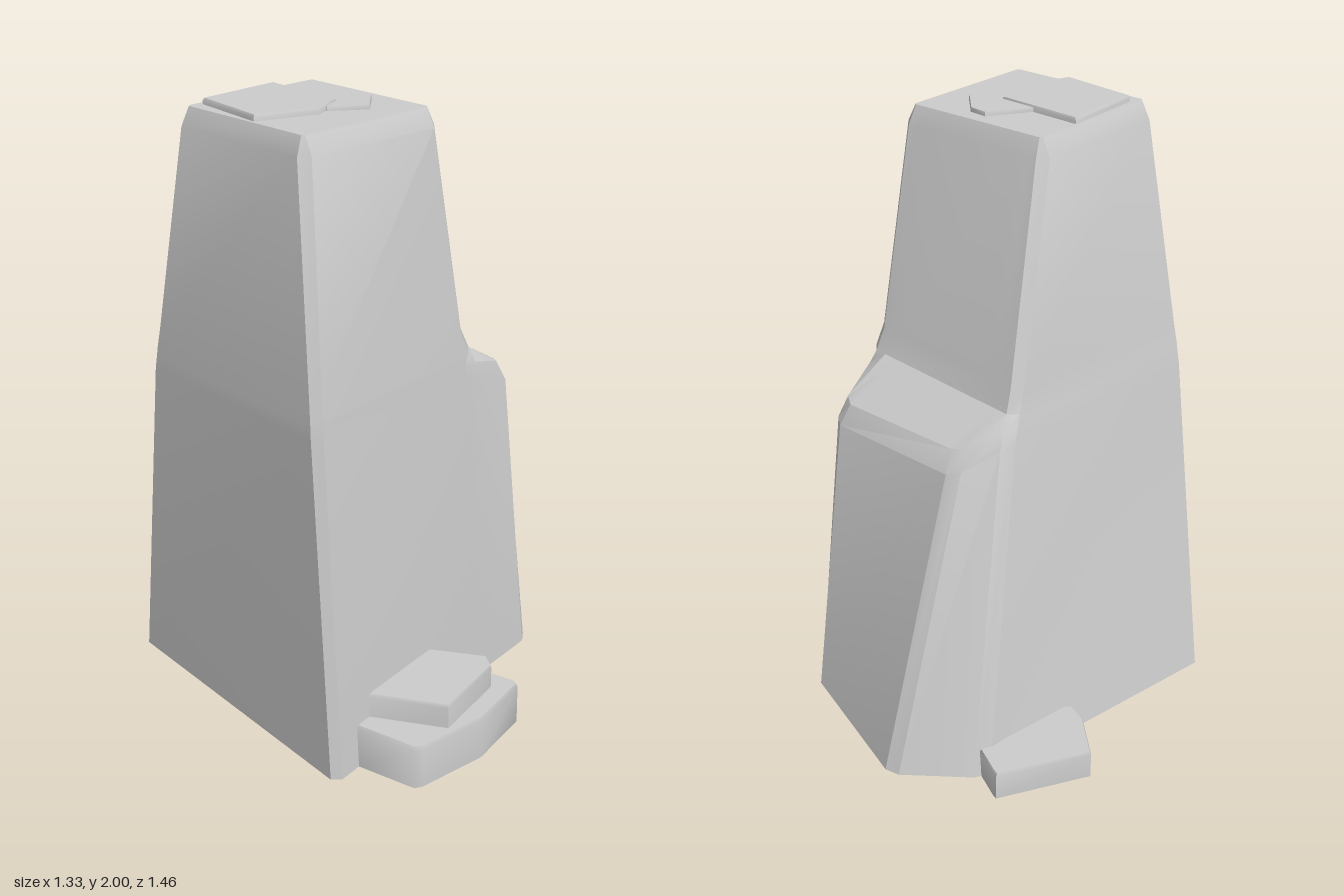
import * as THREE from 'three';
import { toCreasedNormals } from 'three/addons/utils/BufferGeometryUtils.js';

const material = new THREE.MeshStandardMaterial({ color: 0xcccccc, side: THREE.DoubleSide });

// Skin a stack of equal-length rings of [x, y, z], capped on top, open below
function loft(name, rings, crease) {
  const n = rings[0].length;
  const points = rings.flat();
  const top = rings[rings.length - 1];
  const centre = [0, 1, 2].map(k => top.reduce((s, p) => s + p[k], 0) / n);
  points.push(centre);
  const index = [];
  for (let r = 0; r < rings.length - 1; r++) {
    for (let i = 0; i < n; i++) {
      const j = (i + 1) % n;
      const a = r * n + i, b = r * n + j, c = b + n, d = a + n;
      index.push(a, b, c, a, c, d);
    }
  }
  const last = (rings.length - 1) * n;
  for (let i = 0; i < n; i++) index.push(points.length - 1, last + i, last + (i + 1) % n);
  const geometry = new THREE.BufferGeometry();
  geometry.setAttribute('position', new THREE.Float32BufferAttribute(points.flat(), 3));
  geometry.setIndex(index);
  const mesh = new THREE.Mesh(toCreasedNormals(geometry, crease), material);
  mesh.name = name;
  return mesh;
}

// Replace each corner of a ring by two points a distance d along its edges
function chamfer(ring, d) {
  const n = ring.length;
  return ring.flatMap((p, i) => [ring[(i + n - 1) % n], ring[(i + 1) % n]].map(q => {
    const a = new THREE.Vector3(...p), b = new THREE.Vector3(...q);
    const t = Math.min(d / a.distanceTo(b), 0.4);
    return a.lerp(b, t).toArray();
  }));
}

// Four-cornered ring of the upper block, with two spare points on its right face
function upperRing(y, frontLeft, frontRight, backRight, backLeft) {
  const at = ([x, z]) => [x, y, z];
  const along = t => at(frontRight.map((v, k) => v + (backRight[k] - v) * t));
  return [at(frontLeft), at(frontRight), along(0.15), along(0.85), at(backRight), at(backLeft)];
}

// Flat stone with a small bevel around its top
function slab(name, y0, y1, bevel, outline) {
  const n = outline.length;
  const cx = outline.reduce((s, p) => s + p[0], 0) / n;
  const cz = outline.reduce((s, p) => s + p[1], 0) / n;
  const ring = (y, k) => outline.map(([x, z]) => [cx + (x - cx) * k, y, cz + (z - cz) * k]);
  return loft(name, [ring(y0, 1), ring(y1 - bevel, 1), ring(y1, 0.975)], 1.0);
}

export function createModel() {
  const group = new THREE.Group();

  // Tapering pillar with a lower shoulder on +x
  // Corner order: front left, front middle, shoulder front, shoulder back, back right, back left
  const rings = [
    [[-0.67, 0, 0.515], [0.2, 0, 0.36], [0.445, 0, 0.32], [0.675, 0, -0.24], [0.49, 0, -0.48], [-0.53, 0, -0.62]],
    [[-0.637, 1.1, 0.41], [0.13, 1.08, 0.32], [0.37, 0.99, 0.27], [0.4, 0.99, -0.275], [0.275, 1.09, -0.395], [-0.577, 1.1, -0.45]],
    [[-0.634, 1.15, 0.405], [0.13, 1.13, 0.315], [0.34, 1.06, 0.25], [0.36, 1.06, -0.265], [0.25, 1.14, -0.385], [-0.575, 1.15, -0.442]],
    upperRing(1.17, [-0.632, 0.402], [0.145, 0.312], [0.235, -0.378], [-0.574, -0.44]),
    upperRing(1.24, [-0.627, 0.393], [0.11, 0.308], [0.21, -0.372], [-0.57, -0.427]),
    upperRing(1.92, [-0.555, 0.28], [0.01, 0.28], [0.01, -0.3], [-0.555, -0.3]),
    upperRing(1.98, [-0.53, 0.25], [-0.015, 0.25], [-0.015, -0.27], [-0.53, -0.27]),
  ];
  group.add(loft('rockPillar', rings.map((r, i) => chamfer(r, i === 6 ? 0.008 : 0.03)), 0.4));

  // Stones at the foot
  group.add(slab('frontLowerStone', 0, 0.145, 0.015,
    [[-0.555, 0.48], [-0.515, 0.7], [-0.49, 0.712], [-0.24, 0.727], [0.0, 0.665], [0.007, 0.645], [-0.05, 0.39], [-0.3, 0.37]]));
  group.add(slab('frontUpperStone', 0, 0.225, 0.01,
    [[-0.49, 0.47], [-0.36, 0.695], [-0.08, 0.62], [-0.048, 0.57], [-0.155, 0.395]]));
  group.add(slab('backStone', 0, 0.095, 0.01,
    [[0.255, -0.735], [0.13, -0.605], [0.095, -0.53], [0.2, -0.44], [0.475, -0.45], [0.535, -0.56], [0.543, -0.58]]));

  // Thin stones on the summit
  group.add(slab('summitLargeStone', 1.96, 2.0, 0.008,
    [[-0.485, -0.25], [-0.52, 0.025], [-0.32, 0.095], [-0.205, 0.045], [-0.187, -0.265]]));
  group.add(slab('summitSmallStone', 1.96, 1.994, 0.006,
    [[-0.2, -0.09], [-0.28, 0.08], [-0.17, 0.155], [-0.07, 0.06], [-0.063, -0.005]]));

  return group;
}
